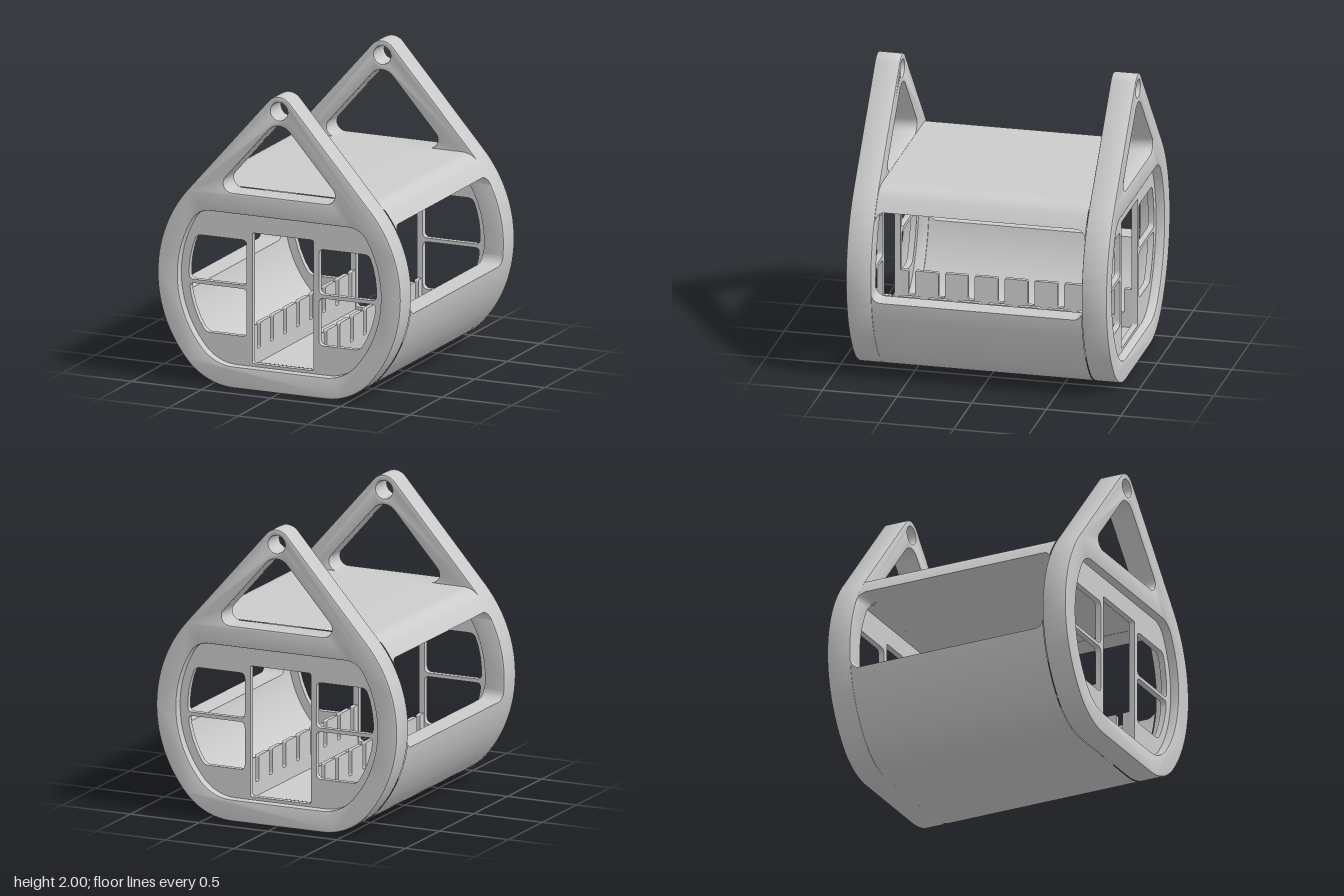
import * as THREE from 'three';
import { toCreasedNormals } from 'three/addons/utils/BufferGeometryUtils.js';

const PI = Math.PI;
const CY = 0.725;               // centre height of the main round
const R_OUT = 0.875, R_IN = 0.73;
const LOW = 0.717;              // angle where the main round meets the bottom corner round
const TOP = Math.asin(0.66);    // angle where the main round meets the straight gable edge

// Chain of arcs [cx, cy, radius, from, to, steps] as points without repeats
function arcs(list, keepAll = false) {
  const pts = [];
  for (const [cx, cy, r, a, b, n = 12] of list) {
    for (let i = 0; i <= n; i++) {
      const t = a + (b - a) * i / n;
      const p = new THREE.Vector2(cx + r * Math.cos(t), cy + r * Math.sin(t));
      if (keepAll || !pts.length || p.distanceTo(pts[pts.length - 1]) > 0.003) pts.push(p);
    }
  }
  return pts;
}

// Polygon of corners [x, y, rounding]
function rounded(corners) {
  const path = new THREE.Path();
  const n = corners.length;
  corners.forEach(([x, y, r = 0], i) => {
    const c = new THREE.Vector2(x, y);
    const toward = ([px, py]) => new THREE.Vector2(px, py).sub(c).setLength(r).add(c);
    const a = toward(corners[(i + n - 1) % n]), b = toward(corners[(i + 1) % n]);
    if (i === 0) path.moveTo(a.x, a.y); else path.lineTo(a.x, a.y);
    if (r > 0) path.quadraticCurveTo(c.x, c.y, b.x, b.y);
  });
  return path.getPoints(5);
}

// Skin through counter-clockwise sections along z
function loft(sections) {
  const pos = [], index = [], n = sections[0].pts.length;
  for (const { z, pts } of sections) for (const p of pts) pos.push(p.x, p.y, z);
  for (let s = 0; s < sections.length - 1; s++) {
    for (let i = 0; i < n; i++) {
      const a = s * n + i, b = s * n + (i + 1) % n;
      index.push(a, b, b + n, a, b + n, a + n);
    }
  }
  const g = new THREE.BufferGeometry();
  g.setAttribute('position', new THREE.Float32BufferAttribute(pos, 3));
  g.setIndex(index);
  return toCreasedNormals(g, 0.5);
}

function extrude(points, holes, depth, bevel = 0) {
  const shape = new THREE.Shape(points);
  shape.holes = holes.map(h => new THREE.Path(h));
  const g = new THREE.ExtrudeGeometry(shape, {
    depth: depth - 2 * bevel, bevelEnabled: bevel > 0, bevelSize: bevel,
    bevelThickness: bevel, bevelOffset: -bevel, bevelSegments: 2,
  });
  g.translate(0, 0, bevel);
  return toCreasedNormals(g, 0.6);
}

const mirror = pts => pts.map(p => new THREE.Vector2(-p.x, p.y)).reverse();

export function createModel() {
  const model = new THREE.Group();
  const mat = new THREE.MeshStandardMaterial({ color: 0xcccccc });
  const add = (parent, name, geo) => {
    const m = new THREE.Mesh(geo, mat);
    m.name = name;
    parent.add(m);
    return m;
  };

  // End frame: teardrop outline with hanging hole, gable opening and main opening
  const outline = arcs([
    [0.33, 0.437, 0.437, -PI / 2, -LOW],
    [0, CY, R_OUT, -LOW, TOP, 32],
    [0, 1.9, 0.1, TOP, PI - TOP, 14],
    [0, CY, R_OUT, PI - TOP, PI + LOW, 32],
    [-0.33, 0.437, 0.437, PI + LOW, 1.5 * PI],
  ]);
  const gable = arcs([
    [0.34, 1.375, 0.06, -PI / 2, TOP, 8],
    [0, 1.7, 0.1, TOP, PI - TOP, 10],
    [-0.34, 1.375, 0.06, PI - TOP, 1.5 * PI, 8],
  ]);
  const ring = arcs([[0, 1.9, 0.06, 0, 2 * PI * 31 / 32, 31]]);
  const K = Math.atan2(0.306, 0.5);
  const opening = arcs([
    [0.33, 0.437, 0.292, -PI / 2, -LOW],
    [0, CY, R_IN, -LOW, K, 24],
    [0.5, 1.031, 0.144, K, PI / 2, 8],
    [-0.5, 1.031, 0.144, PI / 2, PI - K, 8],
    [0, CY, R_IN, PI - K, PI + LOW, 24],
    [-0.33, 0.437, 0.292, PI + LOW, 1.5 * PI],
  ]);
  const frameGeo = extrude(outline, [gable, ring, opening], 0.17, 0.01);

  // End panel: doorway and four windows whose outer edges follow the round
  const windowHole = (y0, y1) => {
    const c = y => Math.sqrt(0.675 ** 2 - (y - CY) ** 2);
    const side = [0.25, 0.5, 0.75].map(t => y0 + (y1 - y0) * t).map(y => [c(y), y, 0]);
    return rounded([[0.26, y0, 0.035], [c(y0), y0, 0.035], ...side,
      [c(y1), y1, 0.035], [0.26, y1, 0.035]]);
  };
  const windows = [windowHole(0.685, 0.99), windowHole(0.34, 0.66)];
  const door = rounded([[-0.22, 0.165, 0.015], [0.22, 0.165, 0.015],
    [0.22, 1.045, 0.015], [-0.22, 1.045, 0.015]]);
  const panelGeo = extrude(opening, [door, ...windows, ...windows.map(mirror)], 0.04);

  for (const [name, turn] of [['frontEnd', 0], ['backEnd', PI]]) {
    const end = new THREE.Group();
    end.name = name;
    end.rotation.y = turn;
    add(end, 'endFrame', frameGeo).position.z = 0.705;
    add(end, 'endPanel', panelGeo).position.z = 0.775;
    model.add(end);
  }

  // Stations along z; lift rounds the corners of the side openings
  const half = [], CR = 0.06;
  for (let i = 0; i <= 6; i++) {
    const a = i * PI / 12;
    half.push({ z: 0.705 - CR * (1 - Math.cos(a)), lift: CR * (1 - Math.sin(a)) });
  }
  const stations = [...half.map(s => ({ z: -s.z, lift: s.lift })), ...half.slice().reverse()];

  // Lower shell: trough with floor and side walls
  const trough = (r, fillet, y) => {
    const right = arcs([
      [0, CY, r, Math.asin((y - CY) / r), -LOW, 16],
      [0.33, 0.437, fillet, -LOW, -PI / 2, 12],
    ], true);
    return [...right, ...mirror(right)];
  };
  add(model, 'lowerShell', loft(stations.map(({ z, lift }) => {
    const y = 0.585 + lift;
    const pts = [...trough(R_OUT, 0.437, y), ...trough(R_IN, 0.292, y).reverse()];
    return { z, pts: pts.reverse() };
  })));

  // Roof: flat slab with rounded shoulders
  const S = Math.atan2(0.44, 0.576);
  add(model, 'roof', loft(stations.map(({ z, lift }) => {
    const y = 1.175 - lift - 0.001;
    const outer = arcs([
      [0, CY, R_OUT, Math.asin((y - CY) / R_OUT), S, 5],
      [0.576, 1.165, 0.15, S, PI / 2, 10],
    ], true);
    const inner = arcs([
      [0, CY, R_IN, Math.asin((y - CY) / R_IN), Math.asin(0.45 / R_IN), 4],
    ], true);
    return { z, pts: [...outer, ...mirror(outer), ...mirror(inner).reverse(), ...inner.slice().reverse()] };
  })));

  // Low inner dividers with a row of slots open at the top
  const corners = [[-0.78, 0.14, 0], [0.78, 0.14, 0], [0.78, 0.41, 0]];
  for (let i = 0; i < 8; i++) {
    const z = 0.7 - i * 0.2;
    corners.push([z + 0.022, 0.41, 0.012], [z + 0.022, 0.24, 0.015],
      [z - 0.022, 0.24, 0.015], [z - 0.022, 0.41, 0.012]);
  }
  corners.push([-0.78, 0.41, 0]);
  const dividerGeo = extrude(rounded(corners), [], 0.03);
  dividerGeo.translate(0, 0, -0.015);
  dividerGeo.rotateY(PI / 2);
  for (const s of [1, -1]) {
    add(model, s > 0 ? 'leftDivider' : 'rightDivider', dividerGeo).position.x = s * 0.24;
  }
  return model;
}
